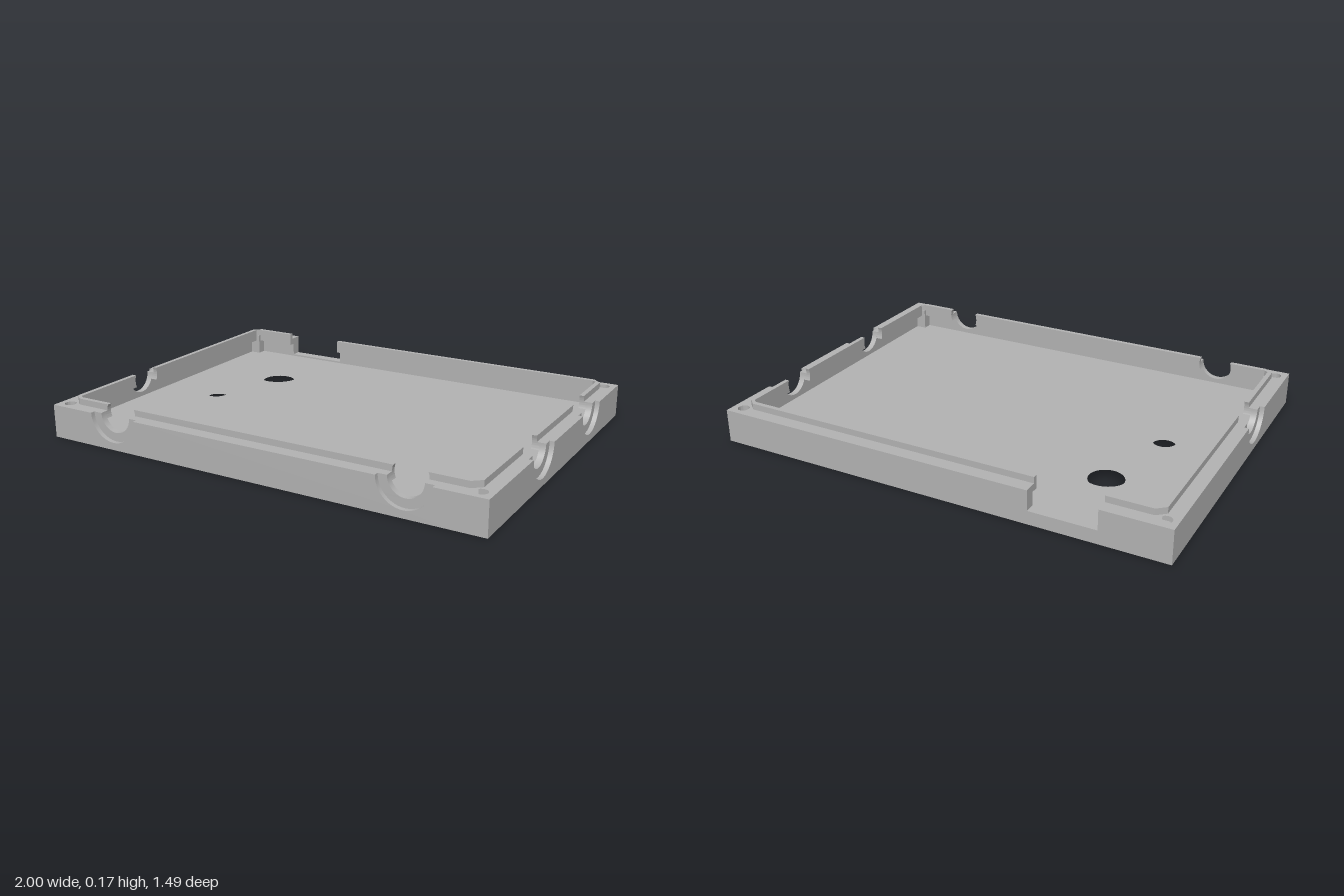
import * as THREE from 'three';
import { toCreasedNormals } from 'three/addons/utils/BufferGeometryUtils.js';

const RIM = 0.145, LIP = 0.172, FLOOR = 0.05;
const WALL = 0.047, RECESS = 0.02;
const HX = 1, HZ = 0.745;          // outer half sizes
const PX = 0.905, PZ = 0.655;      // inner corner of the screw posts
const R_OUT = 0.113, R_IN = 0.075; // stepped cable openings

const plastic = new THREE.MeshStandardMaterial({ color: 0xb2b2b2 });
plastic.name = 'greyPlastic';

function mesh(name, geometry, parent) {
  const m = new THREE.Mesh(toCreasedNormals(geometry, 0.6), plastic);
  m.name = name;
  parent.add(m);
  return m;
}

function extrude(shapes, depth) {
  return new THREE.ExtrudeGeometry(shapes, { depth, bevelEnabled: false, curveSegments: 20 });
}

// Points along a cable opening's circle, centred on the rim
function arc(cx, r, a0, a1) {
  return Array.from({ length: 25 }, (_, i) => {
    const a = a0 + (a1 - a0) * i / 24;
    return new THREE.Vector2(cx + r * Math.cos(a), RIM + r * Math.sin(a));
  });
}

// Upright strip from x0 to x1 and y0 to y1, with round or square bites in its top
function stripShapes(half, y0, y1, bites, r) {
  const V = (x, y) => new THREE.Vector2(x, y);
  const shapes = [];
  let pts = [V(-half, y0), V(-half, y1)];
  const split = (left, right) => {
    shapes.push(new THREE.Shape([...pts, ...left]));
    pts = right;
  };
  for (const b of bites) {
    if (b.to !== undefined) {
      if (b.bottom > y0) pts.push(V(b.from, y1), V(b.from, b.bottom), V(b.to, b.bottom), V(b.to, y1));
      else split([V(b.from, y1), V(b.from, y0)], [V(b.to, y0), V(b.to, y1)]);
      continue;
    }
    const top = Math.asin((y1 - RIM) / r);
    if (RIM - r > y0) {
      pts.push(...arc(b.at, r, Math.PI - top, 2 * Math.PI + top));
    } else {
      const low = Math.asin((RIM - y0) / r);
      split(arc(b.at, r, Math.PI - top, Math.PI + low), arc(b.at, r, 2 * Math.PI - low, 2 * Math.PI + top));
    }
  }
  split([V(half, y1), V(half, y0)], []);
  return shapes;
}

// One side: outer wall with wide recesses, inner wall, ledge and raised lip
function side(name, half, dist, angle, bites) {
  const g = new THREE.Group();
  g.name = name;
  const layers = [
    ['outerWall', dist - RECESS, dist, 0, RIM, R_OUT],
    ['innerWall', dist - WALL, dist - RECESS, 0, RIM, R_IN],
    ['lipLedge', dist - 0.058, dist - WALL, 0.115, RIM, R_IN],
    ['lip', dist - 0.078, dist - 0.058, 0.115, LIP, R_IN],
  ];
  for (const [part, d0, d1, y0, y1, r] of layers) {
    const geo = extrude(stripShapes(half, y0, y1, bites, r), d1 - d0);
    geo.translate(0, 0, d0);
    mesh(part, geo, g);
  }
  g.rotation.y = angle;
  return g;
}

// Horizontal plate: points are [x, z], holes are [x, z, radius]
function plate(name, points, holes, y0, y1, parent) {
  const shape = new THREE.Shape(points.map(([x, z]) => new THREE.Vector2(x, -z)));
  for (const [x, z, r] of holes) {
    shape.holes.push(new THREE.Path().absarc(x, -z, r, 0, Math.PI * 2, true));
  }
  const geo = extrude(shape, y1 - y0);
  geo.rotateX(-Math.PI / 2);
  geo.translate(0, y0, 0);
  return mesh(name, geo, parent);
}

export function createModel() {
  const model = new THREE.Group();
  model.name = 'enclosureTray';

  // Floor in two layers, so that the large hole has a step
  const fx = HX - WALL, fz = HZ - WALL;
  const outline = [
    [-PX, -fz], [PX, -fz], [PX, -PZ], [fx, -PZ], [fx, PZ], [PX, PZ],
    [PX, fz], [-PX, fz], [-PX, PZ], [-fx, PZ], [-fx, -PZ], [-PX, -PZ],
  ];
  const small = [-0.675, -0.0 + 0.027, 0.051];
  plate('lowerFloor', outline, [[-0.575, -0.345, 0.075], small], 0, 0.03, model);
  plate('upperFloor', outline, [[-0.575, -0.345, 0.095], small], 0.03, FLOOR, model);

  // Four sides
  model.add(
    side('frontSide', PX, HZ, 0, [{ at: -0.674 }, { at: 0.674 }]),
    side('leftSide', PZ, HX, Math.PI / 2, [{ at: -0.214 }, { at: 0.358 }]),
    side('backSide', PX, HZ, Math.PI, [{ from: 0.43, to: 0.715, bottom: 0.058 }]),
    side('rightSide', PZ, HX, -Math.PI / 2, [{ at: 0.235 }]),
  );

  // Screw posts with the lip's slanted corners on top
  for (const sx of [-1, 1]) {
    for (const sz of [-1, 1]) {
      const flip = (pts) => pts.map(([x, z]) => [x * sx, z * sz]);
      plate('screwPost', flip([[PX, PZ], [HX, PZ], [HX, HZ], [PX, HZ]]),
        [[0.95 * sx, 0.695 * sz, 0.025]], 0, RIM, model);
      plate('lipCorner', flip([[0.922, PZ], [0.942, PZ], [PX, 0.687], [PX, 0.667]]),
        [], RIM, LIP, model);
    }
  }
  return model;
}
